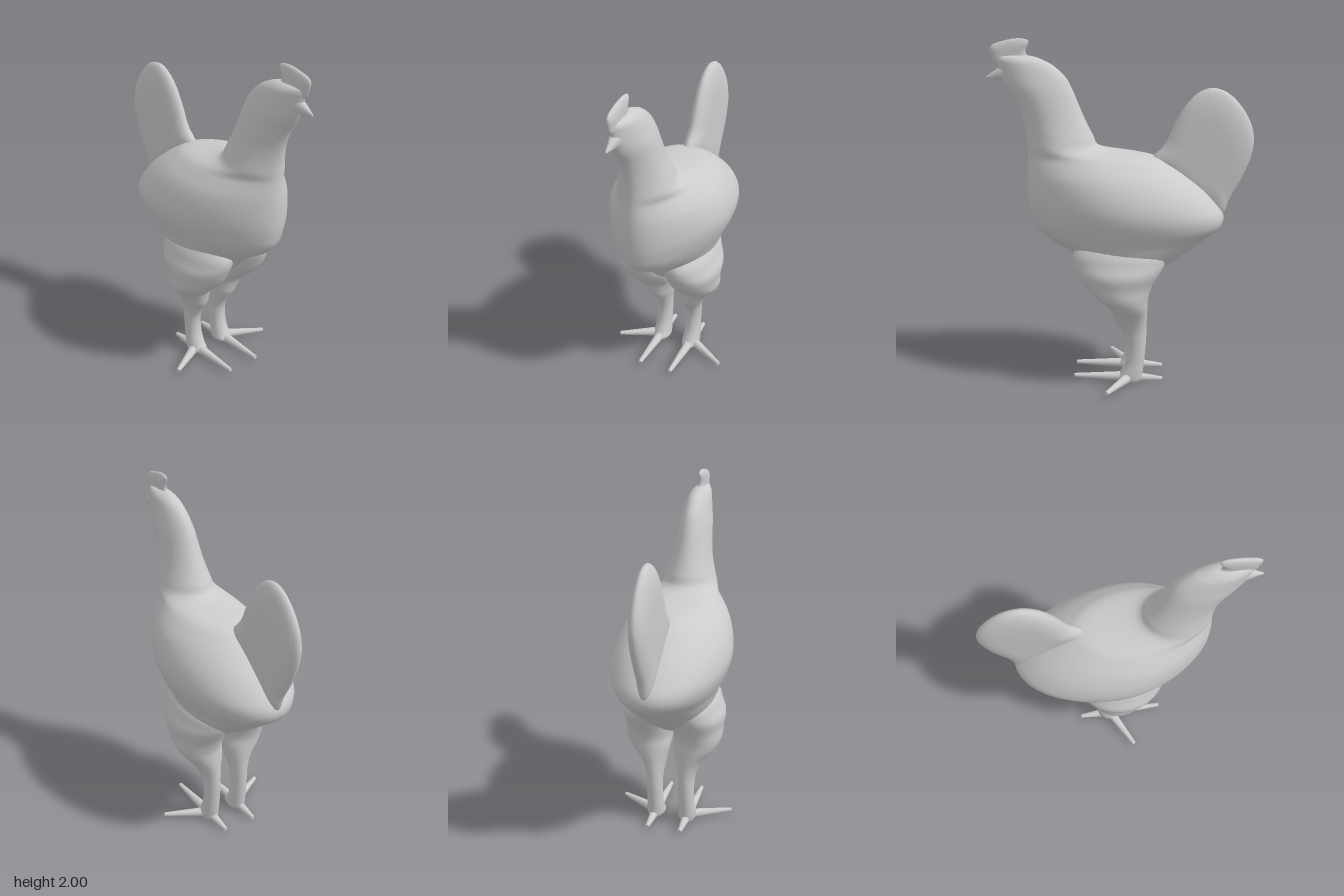
import * as THREE from 'three';

const material = new THREE.MeshStandardMaterial({ color: 0xcccccc });

function addMesh(parent, geometry, name) {
  const mesh = new THREE.Mesh(geometry, material);
  mesh.name = name;
  parent.add(mesh);
  return mesh;
}

// Skin a stack of closed rings (arrays of [x, y, z]) and close both ends.
function loft(rings) {
  const n = rings[0].length, pos = [], index = [];
  rings.forEach(r => r.forEach(p => pos.push(...p)));
  for (let i = 0; i < rings.length - 1; i++) {
    for (let j = 0; j < n; j++) {
      const k = (j + 1) % n, a = i * n + j, b = i * n + k;
      index.push(a, b, b + n, a, b + n, a + n);
    }
  }
  [0, rings.length - 1].forEach((i, end) => {
    const c = pos.length / 3;
    pos.push(...[0, 1, 2].map(d => rings[i].reduce((s, p) => s + p[d], 0) / n));
    for (let j = 0; j < n; j++) {
      const a = i * n + j, b = i * n + (j + 1) % n;
      if (end) index.push(a, b, c); else index.push(b, a, c);
    }
  });
  const g = new THREE.BufferGeometry();
  g.setAttribute('position', new THREE.Float32BufferAttribute(pos, 3));
  g.setIndex(index);
  g.computeVertexNormals();
  return g;
}

// Fill in extra rows between the given ones along a smooth spline.
function smoothRows(rows, steps) {
  const out = [], last = rows.length - 1;
  for (let i = 0; i < last; i++) {
    const [a, b, c, d] = [i - 1, i, i + 1, i + 2].map(k => rows[Math.min(last, Math.max(0, k))]);
    for (let s = 0; s < steps; s++) {
      const t = s / steps;
      out.push(b.map((v, k) => v + 0.5 * t * (c[k] - a[k]
        + t * (2 * a[k] - 5 * v + 4 * c[k] - d[k] + t * (3 * (v - c[k]) + d[k] - a[k])))));
    }
  }
  out.push(rows[last]);
  return out;
}

// Level oval rings from rows of [y, xMin, xMax, zBack, zFront]; pinch narrows the front.
function ovalLoft(rows, sides, pinch) {
  return loft(smoothRows(rows, 4).map(([y, x0, x1, z0, z1]) =>
    Array.from({ length: sides }, (_, j) => {
      const t = j / sides * Math.PI * 2;
      const narrow = 1 - pinch * Math.max(0, Math.cos(t)) ** 2;
      return [(x0 + x1) / 2 + (x1 - x0) / 2 * Math.sin(t) * narrow, y,
        (z0 + z1) / 2 + (z1 - z0) / 2 * Math.cos(t)];
    })));
}

// Upright rounded blade from a side outline of [z, y] points.
function blade(outline, half, rim, [cz, cy]) {
  const curve = new THREE.CatmullRomCurve3(
    outline.map(([z, y]) => new THREE.Vector3(0, y, z)), true, 'centripetal');
  const pts = curve.getPoints(56).slice(0, -1);
  const rings = [];
  for (let i = 0; i <= 12; i++) {
    const a = i / 12 * Math.PI;
    const s = 1 - rim * (1 - Math.sin(a));
    rings.push(pts.map(p => [half * Math.cos(a), cy + (p.y - cy) * s, cz + (p.z - cz) * s]));
  }
  return loft(rings);
}

// Tapered round spike between two points.
function spike(from, to, r0, r1) {
  const a = new THREE.Vector3(...from), dir = new THREE.Vector3(...to).sub(a);
  const g = new THREE.CylinderGeometry(r1, r0, dir.length(), 14, 3);
  g.translate(0, dir.length() / 2, 0);
  g.applyQuaternion(new THREE.Quaternion().setFromUnitVectors(
    new THREE.Vector3(0, 1, 0), dir.normalize()));
  return g.translate(a.x, a.y, a.z);
}

export function createModel() {
  const hen = new THREE.Group();
  hen.name = 'hen';

  // Body, neck and head: [y, zBack, zFront, halfWidth]
  const body = [
    [0.6, -0.1, 0.06, 0.03], [0.66, -0.2, 0.17, 0.15], [0.73, -0.3, 0.24, 0.215],
    [0.8, -0.4, 0.32, 0.245], [0.87, -0.495, 0.43, 0.268], [0.94, -0.58, 0.495, 0.3],
    [1.01, -0.59, 0.518, 0.325], [1.08, -0.545, 0.53, 0.332], [1.16, -0.47, 0.535, 0.318],
    [1.24, -0.37, 0.535, 0.285], [1.3, -0.28, 0.532, 0.24], [1.345, -0.18, 0.53, 0.2],
    [1.39, 0.1, 0.53, 0.162], [1.46, 0.155, 0.535, 0.138], [1.55, 0.2, 0.553, 0.115],
    [1.64, 0.238, 0.59, 0.102], [1.72, 0.27, 0.64, 0.093], [1.79, 0.31, 0.675, 0.078],
    [1.85, 0.375, 0.688, 0.065], [1.88, 0.43, 0.695, 0.054], [1.9, 0.48, 0.69, 0.035],
    [1.91, 0.54, 0.66, 0.006],
  ];
  addMesh(hen, ovalLoft(body.map(([y, z0, z1, w]) => [y, -w, w, z0, z1]), 40, 0.25), 'body');

  // Beak
  const beak = addMesh(hen, spike([0, 1.83, 0.56], [0, 1.783, 0.752], 0.085, 0.006), 'beak');
  beak.scale.x = 0.72;

  // Comb
  addMesh(hen, blade([
    [0.7, 1.86], [0.718, 1.9], [0.725, 1.955], [0.64, 1.99], [0.55, 2.0], [0.512, 1.985],
    [0.528, 1.925], [0.5, 1.87], [0.6, 1.84],
  ], 0.019, 0.6, [0.62, 1.91]), 'comb');

  // Tail fan
  addMesh(hen, blade([
    [-0.17, 1.31], [-0.25, 1.41], [-0.31, 1.54], [-0.37, 1.64], [-0.43, 1.7], [-0.5, 1.73],
    [-0.58, 1.715], [-0.66, 1.65], [-0.73, 1.54], [-0.752, 1.44], [-0.74, 1.35],
    [-0.69, 1.22], [-0.62, 1.09], [-0.58, 1.0], [-0.45, 1.05], [-0.28, 1.2],
  ], 0.05, 0.5, [-0.48, 1.36]), 'tail');

  // Legs: [y, xInner, xOuter, zBack, zFront]
  const leg = [
    [0.01, 0.06, 0.14, -0.12, -0.01], [0.03, 0.045, 0.15, -0.13, 0.02],
    [0.07, 0.047, 0.15, -0.135, -0.005], [0.14, 0.05, 0.145, -0.143, -0.033],
    [0.24, 0.05, 0.145, -0.152, -0.04], [0.32, 0.045, 0.152, -0.155, -0.01],
    [0.38, 0.035, 0.175, -0.156, 0.03], [0.43, 0.025, 0.205, -0.158, 0.045],
    [0.49, 0.012, 0.255, -0.16, 0.07], [0.55, 0.004, 0.287, -0.165, 0.14],
    [0.62, -0.01, 0.292, -0.19, 0.205], [0.69, -0.02, 0.3, -0.23, 0.245],
    [0.75, -0.02, 0.278, -0.26, 0.268], [0.81, -0.01, 0.256, -0.26, 0.262],
    [0.9, 0, 0.2, -0.18, 0.2],
  ];
  for (const [side, s] of [['left', 1], ['right', -1]]) {
    const group = new THREE.Group();
    group.name = side + 'Leg';
    hen.add(group);
    addMesh(group, ovalLoft(leg.map(([y, a, b, z0, z1]) =>
      s > 0 ? [y, a, b, z0, z1] : [y, -b, -a, z0, z1]), 28, 0), 'thighAndShank');

    // Toes pointing forward, outward and back
    const toes = { frontToe: [0.1, 0.036, 0.27], outerToe: [0.34, 0.03, 0.07], backToe: [0.1, 0.022, -0.25] };
    for (const [name, tip] of Object.entries(toes)) {
      addMesh(group, spike([0.1 * s, 0.034, -0.06], [tip[0] * s, tip[1], tip[2]], 0.031, 0.012), name);
    }
  }
  return hen;
}
